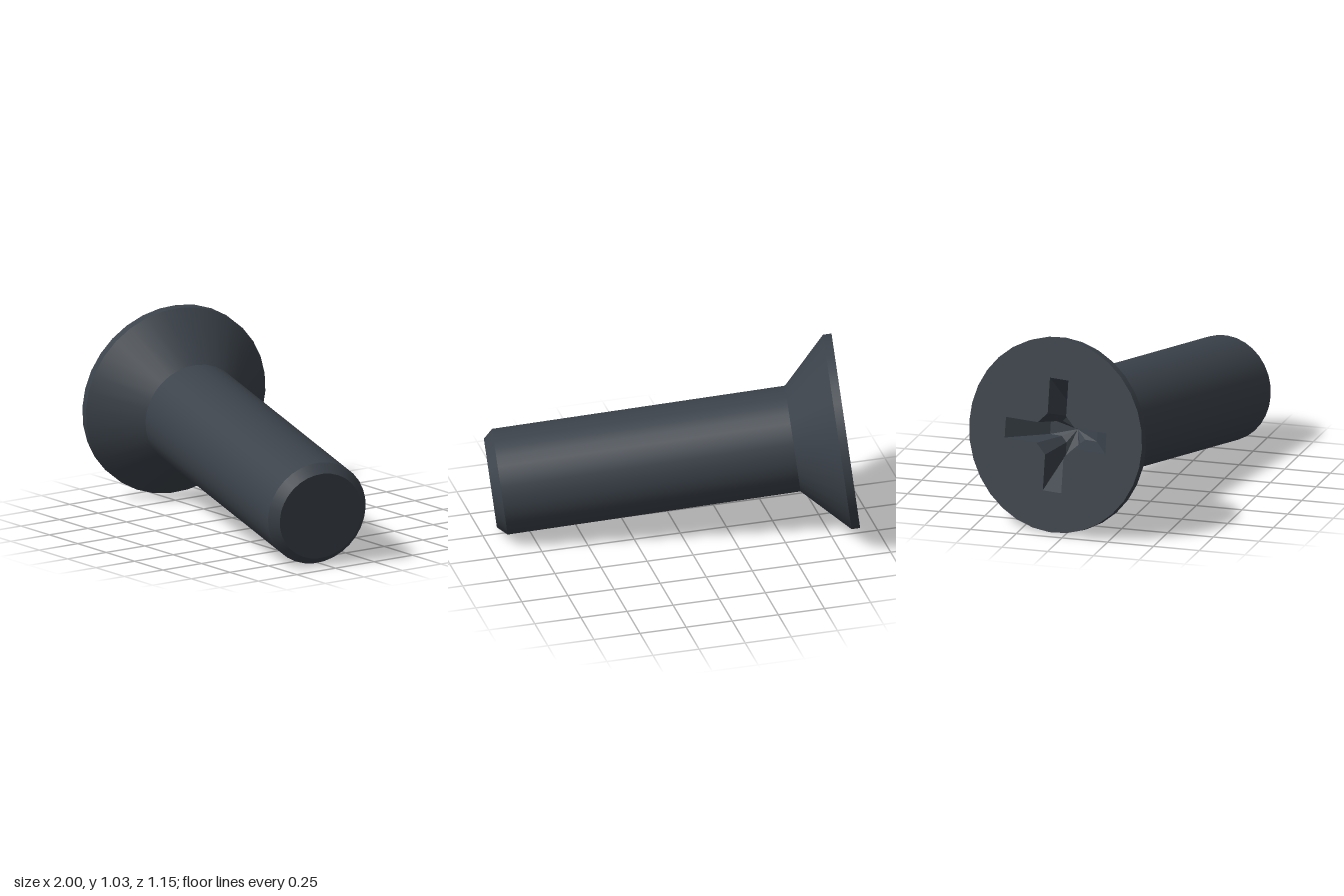
import * as THREE from 'three';

const SIDES = 32;
const HEAD_R = 0.515, SHAFT_R = 0.28, TIP_R = 0.235;
const RIM = 0.045, NECK = 0.28, SHAFT_END = 1.825, LENGTH = 1.875;

// Outline of the cross recess: four arms with bevelled inner corners
function crossOutline(armLength, halfWidth, bevel) {
  const quarter = [
    [armLength, -halfWidth],
    [armLength, halfWidth],
    [halfWidth + bevel, halfWidth],
    [halfWidth, halfWidth + bevel],
  ];
  const points = [];
  for (let k = 0; k < 4; k++) {
    for (const [x, y] of quarter) {
      points.push(new THREE.Vector2(x, y).rotateAround(new THREE.Vector2(), k * Math.PI / 2));
    }
  }
  return points;
}

// Tapered walls of the recess and its shallow pointed floor
function recessGeometry(top, bottom, depth, centreDepth) {
  const positions = [];
  const n = top.length;
  const put = (p, y) => positions.push(p.x, y, p.y);
  const centre = new THREE.Vector2();
  for (let i = 0; i < n; i++) {
    const j = (i + 1) % n;
    put(top[i], 0); put(top[j], 0); put(bottom[j], depth);
    put(top[i], 0); put(bottom[j], depth); put(bottom[i], depth);
    put(bottom[i], depth); put(bottom[j], depth); put(centre, centreDepth);
  }
  const geometry = new THREE.BufferGeometry();
  geometry.setAttribute('position', new THREE.Float32BufferAttribute(positions, 3));
  geometry.computeVertexNormals();
  return geometry;
}

export function createModel() {
  const metal = new THREE.MeshStandardMaterial({ color: 0x3b424a });
  metal.name = 'dark metal';

  const model = new THREE.Group();
  model.name = 'countersunkScrew';
  const add = (name, geometry) => {
    const mesh = new THREE.Mesh(geometry, metal);
    mesh.name = name;
    model.add(mesh);
  };

  // Turned surfaces, one per band so that the edges between them stay sharp
  const bands = [
    ['headRim', HEAD_R, 0, HEAD_R, RIM],
    ['headCone', HEAD_R, RIM, SHAFT_R, NECK],
    ['shaft', SHAFT_R, NECK, SHAFT_R, SHAFT_END],
    ['tipChamfer', SHAFT_R, SHAFT_END, TIP_R, LENGTH],
    ['tipFace', TIP_R, LENGTH, 0, LENGTH],
  ];
  for (const [name, r0, y0, r1, y1] of bands) {
    add(name, new THREE.LatheGeometry([new THREE.Vector2(r0, y0), new THREE.Vector2(r1, y1)], SIDES));
  }

  // Flat head face with the cross cut out
  const opening = crossOutline(0.3, 0.055, 0.055);
  const circle = [];
  for (let i = 0; i < SIDES; i++) {
    const a = i / SIDES * Math.PI * 2;
    circle.push(new THREE.Vector2(HEAD_R * Math.cos(a), HEAD_R * Math.sin(a)));
  }
  const face = new THREE.Shape(circle);
  face.holes.push(new THREE.Path(opening));
  add('headFace', new THREE.ShapeGeometry(face).rotateX(Math.PI / 2));

  // Cross recess
  add('crossRecess', recessGeometry(opening, crossOutline(0.14, 0.04, 0.03), 0.2, 0.24));

  // Lay the screw along its tilted axis, one recess arm pointing up
  const axis = new THREE.Vector3(0.971, -0.128, 0.201).normalize();
  const up = new THREE.Vector3(0, 1, 0).addScaledVector(axis, -axis.y).normalize();
  const side = new THREE.Vector3().crossVectors(up, axis);
  model.quaternion.setFromRotationMatrix(new THREE.Matrix4().makeBasis(up, axis, side));
  model.position.set(-0.877, 0.514, -0.073);

  return model;
}
